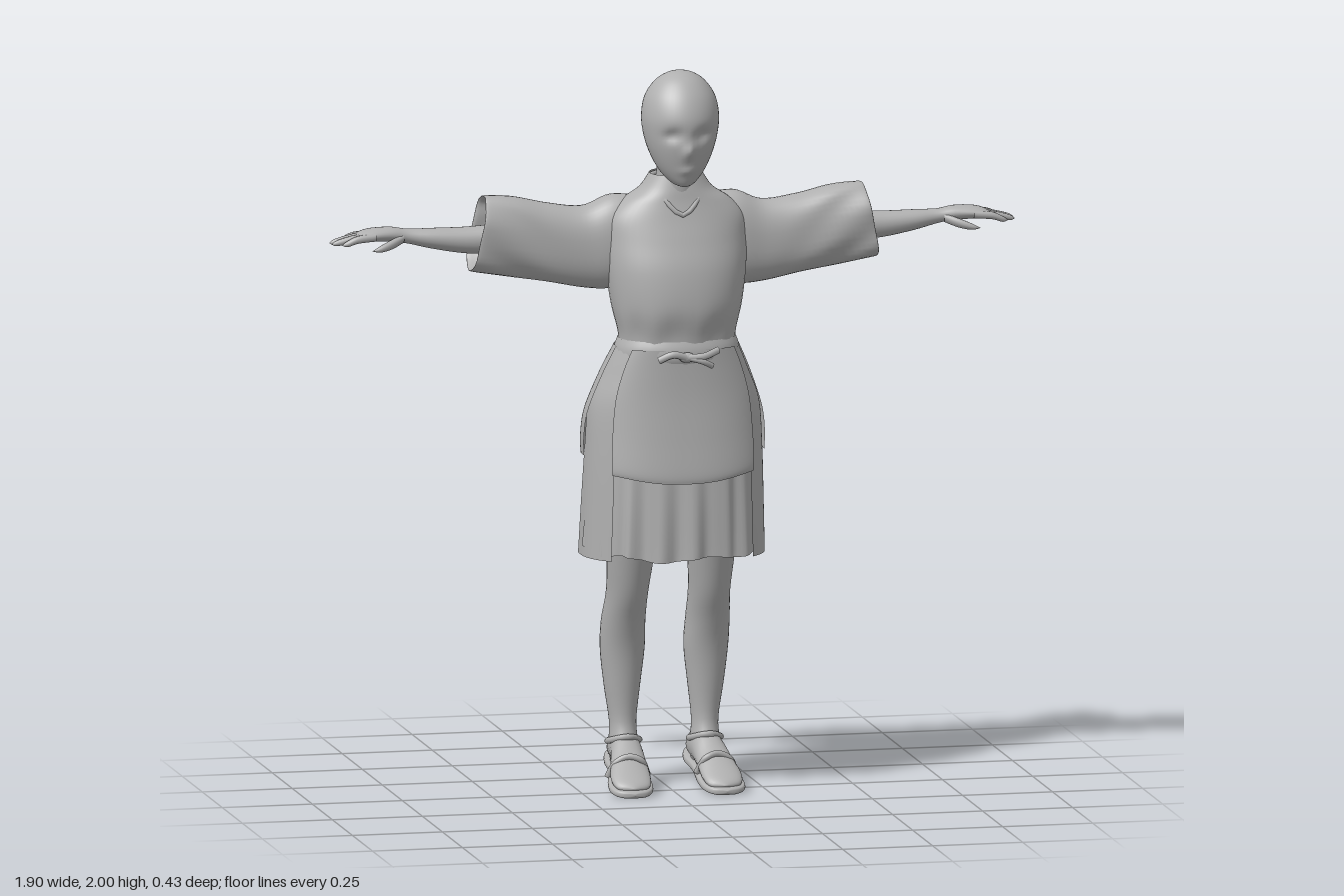
import * as THREE from 'three';
import { mergeVertices } from 'three/addons/utils/BufferGeometryUtils.js';

const clay = new THREE.MeshStandardMaterial({ color: 0xb0b0b0, side: THREE.DoubleSide });
clay.name = 'plain grey';

// Smooth interpolation through a list of cross-section keys
function sample(keys, t) {
  const f = t * (keys.length - 1);
  const i = Math.min(Math.floor(f), keys.length - 2);
  const k = f - i;
  const at = (j) => keys[Math.max(0, Math.min(keys.length - 1, j))];
  return keys[i].map((_, n) => {
    const [p0, p1, p2, p3] = [at(i - 1)[n], at(i)[n], at(i + 1)[n], at(i + 2)[n]];
    return p1 + 0.5 * k * (p2 - p0 + k * (2 * p0 - 5 * p1 + 4 * p2 - p3 + k * (3 * (p1 - p2) + p3 - p0)));
  });
}

// Where a cross-section lies for each axis: s along it, u and w across it
const AXES = {
  x: { sign: -1, place: (s, u, w) => new THREE.Vector3(s, u, w) },
  y: { sign: 1, place: (s, u, w) => new THREE.Vector3(u, s, w) },
  z: { sign: -1, place: (s, u, w) => new THREE.Vector3(u, w, s) },
};

// Skin over rounded sections; each key is [position, centre, radius, high, low]
function loft(name, axis, keys, { e = 1, seg = 32, rows = 32, from = 0, to = 360, tweak } = {}) {
  const { sign, place } = AXES[axis];
  const pos = [], index = [];
  const pw = (v) => Math.sign(v) * Math.pow(Math.abs(v), e);
  for (let r = 0; r <= rows; r++) {
    const [s, c, rad, hi, lo] = sample(keys, r / rows);
    for (let i = 0; i <= seg; i++) {
      const a = THREE.MathUtils.degToRad(from + ((to - from) * i) / seg);
      const p = place(s, c + sign * rad * pw(Math.sin(a)), (hi + lo) / 2 + ((hi - lo) / 2) * pw(Math.cos(a)));
      if (tweak) tweak(p, a, r / rows);
      pos.push(p.x, p.y, p.z);
      if (r < rows && i < seg) {
        const q = r * (seg + 1) + i, n = q + seg + 1;
        index.push(q, q + 1, n + 1, q, n + 1, n);
      }
    }
  }
  let g = new THREE.BufferGeometry();
  g.setAttribute('position', new THREE.Float32BufferAttribute(pos, 3));
  g.setIndex(index);
  g = mergeVertices(g, 1e-5);
  g.computeVertexNormals();
  return mesh(name, g);
}

function mesh(name, geometry) {
  const m = new THREE.Mesh(geometry, clay);
  m.name = name;
  return m;
}

function tube(name, pts, radius, closed = false) {
  const curve = new THREE.CatmullRomCurve3(pts.map((p) => new THREE.Vector3(...p)), closed);
  return mesh(name, new THREE.TubeGeometry(curve, 24, radius, 8, closed));
}

function ball(name, [x, y, z], [sx, sy, sz]) {
  const m = mesh(name, new THREE.SphereGeometry(1, 16, 12));
  m.position.set(x, y, z);
  m.scale.set(sx, sy, sz);
  return m;
}

const bump = (d, w) => Math.exp(-(d * d) / (w * w));

function makeHead() {
  const g = new THREE.Group();
  g.name = 'head';
  g.add(loft('skull', 'y', [
    [1.685, 0, 0, 0.15, 0.13], [1.695, 0, 0.03, 0.172, 0.08], [1.73, 0, 0.062, 0.188, 0.035],
    [1.78, 0, 0.087, 0.203, 0], [1.83, 0, 0.101, 0.211, -0.018], [1.88, 0, 0.105, 0.212, -0.021],
    [1.93, 0, 0.095, 0.194, -0.008], [1.97, 0, 0.068, 0.163, 0.025], [1.992, 0, 0.035, 0.13, 0.06],
    [2.0, 0, 0, 0.095, 0.095],
  ], { seg: 48, rows: 54, tweak(p) {
    // Eye sockets, nose and lips
    if (p.z < 0.1) return;
    p.z -= 0.014 * bump(Math.abs(p.x) - 0.042, 0.022) * bump(p.y - 1.835, 0.018);
    p.z += 0.016 * bump(p.x, 0.013) * bump(p.y - 1.79, 0.02);
    p.z += 0.006 * bump(p.x, 0.022) * bump(p.y - 1.735, 0.01);
  } }));
  g.add(loft('neck', 'y', [
    [1.58, 0, 0.07, 0.11, -0.04], [1.66, 0, 0.062, 0.118, -0.03], [1.72, 0, 0.054, 0.122, -0.017],
    [1.8, 0, 0.055, 0.12, -0.005],
  ]));
  return g;
}

function makeTunic() {
  const g = new THREE.Group();
  g.name = 'tunic';
  g.add(loft('bodice', 'y', [
    [1.2, 0, 0.16, 0.162, -0.07], [1.27, 0, 0.16, 0.168, -0.06], [1.35, 0, 0.178, 0.186, -0.088],
    [1.45, 0, 0.192, 0.178, -0.096], [1.53, 0, 0.195, 0.155, -0.092], [1.59, 0, 0.188, 0.136, -0.074],
    [1.635, 0, 0.15, 0.124, -0.053], [1.67, 0, 0.1, 0.118, -0.037], [1.71, 0, 0.072, 0.11, -0.026],
  ], { e: 0.9, seg: 48, rows: 40, tweak(p, a) {
    // Soft folds above the sash
    p.z += 0.004 * Math.sin(a * 9) * bump(p.y - 1.29, 0.05);
  } }));
  g.add(tube('collar', [[0, 1.7, -0.027], [0.07, 1.695, 0.02], [0.05, 1.65, 0.108], [0, 1.605, 0.132],
    [-0.05, 1.65, 0.108], [-0.07, 1.695, 0.02]], 0.007, true));
  g.add(loft('sash', 'y', [
    [1.195, 0, 0.168, 0.168, -0.08], [1.215, 0, 0.172, 0.175, -0.078], [1.24, 0, 0.169, 0.174, -0.07],
    [1.262, 0, 0.161, 0.167, -0.062],
  ], { e: 0.9, rows: 10 }));
  // Bow at the front of the sash
  g.add(ball('bowKnot', [0, 1.222, 0.182], [0.022, 0.014, 0.015]));
  g.add(tube('bowRight', [[0, 1.222, 0.187], [-0.04, 1.232, 0.192], [-0.078, 1.216, 0.182]], 0.01));
  g.add(tube('bowLeft', [[0, 1.222, 0.187], [0.045, 1.225, 0.192], [0.088, 1.238, 0.175]], 0.01));
  g.add(tube('bowTail', [[0, 1.222, 0.187], [0.04, 1.212, 0.196], [0.07, 1.197, 0.186]], 0.008));
  return g;
}

function makeSkirts() {
  const g = new THREE.Group();
  g.name = 'skirts';
  const hem = [[0.66, 0, 0.243, 0.17, -0.198], [0.8, 0, 0.238, 0.17, -0.175], [0.95, 0, 0.232, 0.165, -0.142],
    [1.08, 0, 0.222, 0.16, -0.125], [1.17, 0, 0.188, 0.158, -0.09], [1.24, 0, 0.158, 0.158, -0.06]];
  g.add(loft('pleatedSkirt', 'y', hem, { e: 0.85, seg: 168, rows: 24, tweak(p, a, t) {
    const fall = Math.max(0, 1 - t * 1.7);
    const wave = Math.sin(a * 17 + Math.sin(a * 3)) + 0.4 * Math.sin(a * 29);
    const k = 1 + 0.04 * fall * wave;
    p.x *= k;
    p.z *= k;
    p.y += fall * (0.025 * (1 - Math.cos(a)) + 0.006 * Math.sin(a * 7));
  } }));
  // Long smooth panels on the hips
  for (const [name, s] of [['leftPanel', 1], ['rightPanel', -1]]) {
    const panel = loft(name, 'y', hem.map(([y, c, r, f, b]) => [y - 0.003, c, r + 0.01, f + 0.008, b - 0.008]),
      { e: 0.85, seg: 20, from: 48, to: 98 });
    panel.scale.x = s;
    g.add(panel);
  }
  g.add(loft('backFlap', 'y', [
    [0.935, 0, 0.251, 0.165, -0.16], [0.99, 0, 0.252, 0.167, -0.158], [1.06, 0, 0.242, 0.168, -0.148],
    [1.16, 0, 0.206, 0.168, -0.108], [1.24, 0, 0.17, 0.166, -0.07],
  ], { e: 0.85, seg: 48, from: 85, to: 275 }));
  g.add(loft('apron', 'y', [
    [0.885, 0, 0.245, 0.184, -0.14], [0.91, 0, 0.247, 0.186, -0.14], [1.0, 0, 0.244, 0.178, -0.14],
    [1.1, 0, 0.232, 0.171, -0.12], [1.18, 0, 0.206, 0.17, -0.09], [1.24, 0, 0.178, 0.172, -0.06],
  ], { e: 0.85, seg: 40, from: -50, to: 50, tweak(p, a, t) {
    p.y -= (1 - t) * 0.012 * Math.cos(a * 3);
  } }));
  return g;
}

function makeArm() {
  const g = new THREE.Group();
  g.add(loft('sleeve', 'x', [
    [0.08, 1.53, 0.11, 0.07, -0.05], [0.17, 1.52, 0.128, 0.075, -0.07], [0.25, 1.507, 0.112, 0.068, -0.07],
    [0.35, 1.523, 0.107, 0.066, -0.068], [0.45, 1.542, 0.107, 0.07, -0.07], [0.535, 1.553, 0.104, 0.075, -0.07],
    [0.54, 1.553, 0.098, 0.069, -0.064], [0.5, 1.55, 0.085, 0.06, -0.055], [0.4, 1.54, 0.03, 0.02, -0.02],
  ], { e: 0.85, seg: 40, rows: 48, tweak(p, a) {
    // Slanted cuff and gentle creases
    const out = THREE.MathUtils.smoothstep(p.x, 0.25, 0.52);
    p.x -= out * (p.y - 1.553) * 0.2;
    p.z += 0.005 * Math.sin(a * 5 + p.x * 30) * out;
  } }));
  g.add(loft('forearm', 'x', [
    [0.4, 1.54, 0.04, 0.045, -0.035], [0.5, 1.537, 0.04, 0.04, -0.035], [0.58, 1.537, 0.036, 0.036, -0.033],
    [0.67, 1.545, 0.028, 0.03, -0.03], [0.735, 1.553, 0.02, 0.022, -0.024], [0.78, 1.56, 0.02, 0.028, -0.033],
    [0.835, 1.56, 0.018, 0.036, -0.044], [0.87, 1.555, 0.013, 0.035, -0.042], [0.885, 1.553, 0, -0.004, -0.004],
  ], { seg: 24 }));
  // Four fingers and a thumb
  [[0.033, 0.925], [0.011, 0.948], [-0.012, 0.95], [-0.034, 0.925]].forEach(([z, tip], i) => {
    g.add(loft('finger' + (i + 1), 'x', [
      [0.83, 1.558, 0.011, z * 0.9 + 0.011, z * 0.9 - 0.011], [0.88, 1.554, 0.0105, z + 0.011, z - 0.011],
      [tip - 0.015, 1.543, 0.008, z + 0.008, z - 0.008], [tip, 1.54, 0, z, z],
    ], { seg: 10, rows: 12 }));
  });
  g.add(loft('thumb', 'x', [
    [0.75, 1.55, 0.012, 0.026, 0], [0.785, 1.538, 0.013, 0.046, 0.02], [0.82, 1.528, 0.009, 0.056, 0.036],
    [0.845, 1.524, 0, 0.052, 0.052],
  ], { seg: 10, rows: 12 }));
  return g;
}

function makeLeg() {
  const g = new THREE.Group();
  g.add(loft('calf', 'y', [
    [0.06, 0.112, 0.034, -0.06, -0.165], [0.12, 0.113, 0.039, -0.052, -0.16], [0.18, 0.114, 0.037, -0.068, -0.152],
    [0.28, 0.116, 0.05, -0.062, -0.157], [0.38, 0.116, 0.061, -0.048, -0.163], [0.46, 0.117, 0.06, -0.022, -0.156],
    [0.54, 0.114, 0.057, 0.014, -0.125], [0.64, 0.112, 0.064, 0.048, -0.095], [0.8, 0.108, 0.08, 0.1, -0.08],
  ]));
  g.add(loft('foot', 'z', [
    [-0.19, 0.11, 0, 0.09, 0.09], [-0.18, 0.11, 0.03, 0.115, 0.065], [-0.14, 0.11, 0.04, 0.15, 0.055],
    [-0.07, 0.113, 0.044, 0.148, 0.045], [-0.01, 0.12, 0.05, 0.108, 0.035], [0.05, 0.126, 0.055, 0.068, 0.02],
    [0.09, 0.127, 0.042, 0.042, 0.012], [0.105, 0.127, 0, 0.025, 0.025],
  ], { seg: 24 }));
  g.add(loft('sandalSole', 'z', [
    [-0.213, 0.11, 0, 0.076, 0.072], [-0.205, 0.11, 0.03, 0.083, 0.062], [-0.15, 0.11, 0.047, 0.074, 0.048],
    [-0.06, 0.115, 0.047, 0.06, 0.034], [0.02, 0.124, 0.06, 0.042, 0.016], [0.075, 0.128, 0.058, 0.028, 0.004],
    [0.105, 0.128, 0.036, 0.02, 0.0], [0.114, 0.128, 0, 0.012, 0.008],
  ], { e: 0.6, seg: 28 }));
  g.add(tube('ankleStrap', [[0.113, 0.142, -0.05], [0.156, 0.125, -0.1], [0.113, 0.118, -0.172],
    [0.07, 0.125, -0.1]], 0.009, true));
  g.add(tube('toeStrap', [[0.068, 0.045, -0.005], [0.09, 0.088, 0.015], [0.124, 0.098, 0.01], [0.158, 0.082, 0.005],
    [0.178, 0.042, -0.01]], 0.009));
  return g;
}

export function createModel() {
  const model = new THREE.Group();
  model.name = 'figure';
  model.add(makeHead(), makeTunic(), makeSkirts());
  for (const [side, s] of [['left', 1], ['right', -1]]) {
    for (const [part, make] of [['Arm', makeArm], ['Leg', makeLeg]]) {
      const limb = make();
      limb.name = side + part;
      limb.scale.x = s;
      model.add(limb);
    }
  }
  return model;
}
